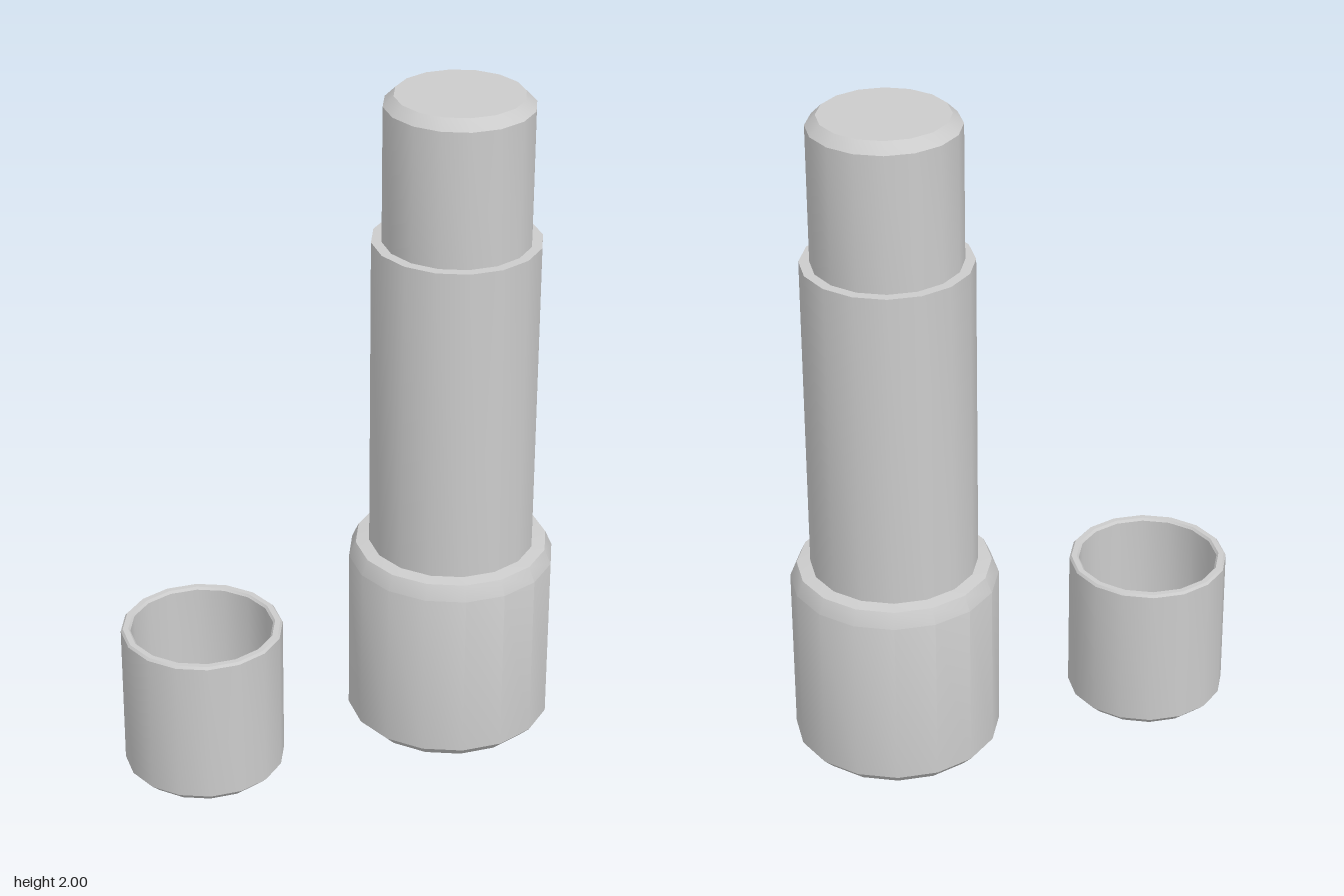
import * as THREE from 'three';
import { toCreasedNormals } from 'three/addons/utils/BufferGeometryUtils.js';

const SIDES = 16;
const material = new THREE.MeshStandardMaterial({ color: 0xcccccc });

// Turned part from [radius, height] pairs, with bevels kept sharp
function turned(name, profile, x, z) {
  const points = profile.map(([r, y]) => new THREE.Vector2(r, y));
  const geometry = toCreasedNormals(new THREE.LatheGeometry(points, SIDES), Math.PI / 6);
  const mesh = new THREE.Mesh(geometry, material);
  mesh.name = name;
  mesh.position.set(x, 0, z);
  return mesh;
}

export function createModel() {
  const model = new THREE.Group();
  model.name = 'flaskAndCup';

  // Stepped flask: bevelled base, soft shoulder, body and stopper
  model.add(turned('flask', [
    [0, 0], [0.27, 0], [0.305, 0.035],
    [0.305, 0.55], [0.285, 0.595], [0.245, 0.6],
    [0.245, 1.565], [0.215, 1.565],
    [0.215, 1.97], [0.185, 2], [0, 2],
  ], 0.345, -0.071));

  // Hollow cup: outside wall, rim, then inside wall down to the floor
  model.add(turned('cup', [
    [0, 0], [0.206, 0], [0.236, 0.028],
    [0.236, 0.463], [0.23, 0.47], [0.214, 0.47], [0.208, 0.463],
    [0.208, 0.05], [0.185, 0.03], [0, 0.03],
  ], -0.415, 0.138));

  return model;
}
